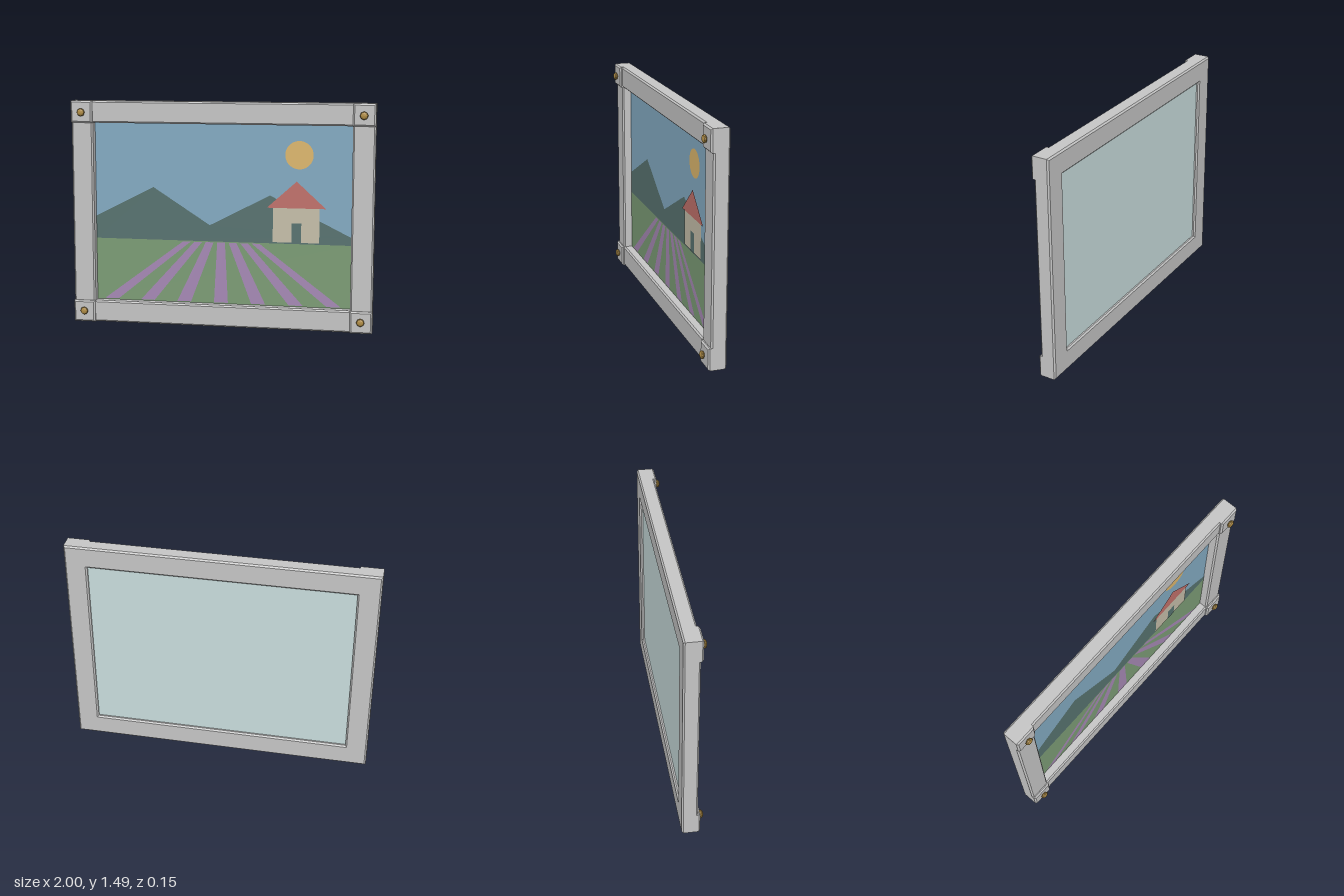
import * as THREE from 'three';

const mat = (name, color) => {
  const m = new THREE.MeshStandardMaterial({ color });
  m.name = name;
  return m;
};

// Closed outline from a list of [x, y] corners
const outline = (pts) => new THREE.Shape(pts.map(([x, y]) => new THREE.Vector2(x, y)));
const rect = (x0, y0, x1, y1) => outline([[x0, y0], [x1, y0], [x1, y1], [x0, y1]]);

// Chamfered slab between two depths
function slab(shape, z0, z1, bevel) {
  const g = new THREE.ExtrudeGeometry(shape, {
    depth: z1 - z0 - 2 * bevel,
    bevelEnabled: true,
    bevelThickness: bevel,
    bevelSize: bevel,
    bevelOffset: -bevel,
    bevelSegments: 1,
  });
  return g.translate(0, 0, z0 + bevel);
}

export function createModel() {
  const group = new THREE.Group();
  group.name = 'framedPicture';

  const frameGrey = mat('frameGrey', 0xc4c4c4);
  const brass = mat('brass', 0xb08d45);
  const backing = mat('backingTeal', 0xc8dcdc);
  const sky = mat('skyBlue', 0x82a9c1);
  const hill = mat('hillGreen', 0x57726f);
  const grass = mat('fieldGreen', 0x7b9b75);
  const lavender = mat('lavender', 0xa588b4);
  const sunYellow = mat('sunYellow', 0xdcb66c);
  const wall = mat('wallCream', 0xc4bda8);
  const roofRed = mat('roofRed', 0xc0706a);

  const add = (name, geometry, material, parent = group) => {
    const mesh = new THREE.Mesh(geometry, material);
    mesh.name = name;
    parent.add(mesh);
    return mesh;
  };

  const W = 1, H = 1.487, RAIL = 0.145;
  const IX = W - RAIL, IY0 = RAIL, IY1 = H - RAIL;

  // Frame with chamfered outer and inner edges
  const frameShape = rect(-W, 0, W, H);
  frameShape.holes.push(rect(-IX, IY0, IX, IY1));
  add('frame', slab(frameShape, -0.072, 0.029, 0.01), frameGrey);

  // Raised corner blocks, each with a faceted brass stud
  for (const sx of [-1, 1]) {
    for (const top of [false, true]) {
      const x0 = sx < 0 ? -W : IX;
      const y0 = top ? IY1 : 0;
      const label = (top ? 'top' : 'bottom') + (sx < 0 ? 'Right' : 'Left');
      add(label + 'Corner', slab(rect(x0, y0, x0 + RAIL, y0 + RAIL), -0.02, 0.046, 0.01), frameGrey);
      const stud = new THREE.SphereGeometry(0.027, 8, 6).rotateX(Math.PI / 2).scale(1, 1, 0.54).toNonIndexed();
      stud.computeVertexNormals();
      add(label + 'Stud', stud, brass).position.set(sx * 0.925, top ? H - 0.075 : 0.078, 0.06);
    }
  }

  // Backing board
  const board = new THREE.BoxGeometry(2 * IX, IY1 - IY0, 0.02);
  add('backingBoard', board, backing).position.set(0, H / 2, -0.042);

  // Painted scene: thin layers stacked towards the front
  const scene = new THREE.Group();
  scene.name = 'paintedScene';
  group.add(scene);
  const paint = (name, shape, material, layer) => {
    add(name, new THREE.ShapeGeometry(shape, 32), material, scene).position.z = -0.031 + layer * 0.0015;
  };
  const horizon = 0.564;

  paint('sky', rect(-IX, IY0, IX, IY1), sky, 0);
  const sun = new THREE.Shape();
  sun.absarc(0.51, 1.147, 0.092, 0, Math.PI * 2);
  paint('sun', sun, sunYellow, 1);
  paint('hills', outline([
    [-IX, horizon], [IX, horizon], [IX, 0.615], [0.32, 0.88],
    [-0.08, 0.672], [-0.46, 0.917], [-IX, 0.715],
  ]), hill, 1);
  paint('field', rect(-IX, IY0, IX, horizon), grass, 1);

  // Lavender rows converging on the horizon
  for (let k = -3; k <= 3; k++) {
    const b = k * 0.25 - 0.005, t = k * 0.077 - 0.004;
    paint('lavenderRow', outline([
      [b - 0.047, 0.152], [b + 0.047, 0.152], [t + 0.026, 0.558], [t - 0.026, 0.558],
    ]), lavender, 2);
  }

  // Cottage
  paint('cottageWall', rect(0.34, 0.573, 0.645, 0.803), wall, 3);
  paint('cottageDoor', rect(0.463, 0.573, 0.527, 0.702), hill, 4);
  paint('cottageRoof', outline([[0.3, 0.8], [0.687, 0.8], [0.495, 0.976]]), roofRed, 4);

  return group;
}
